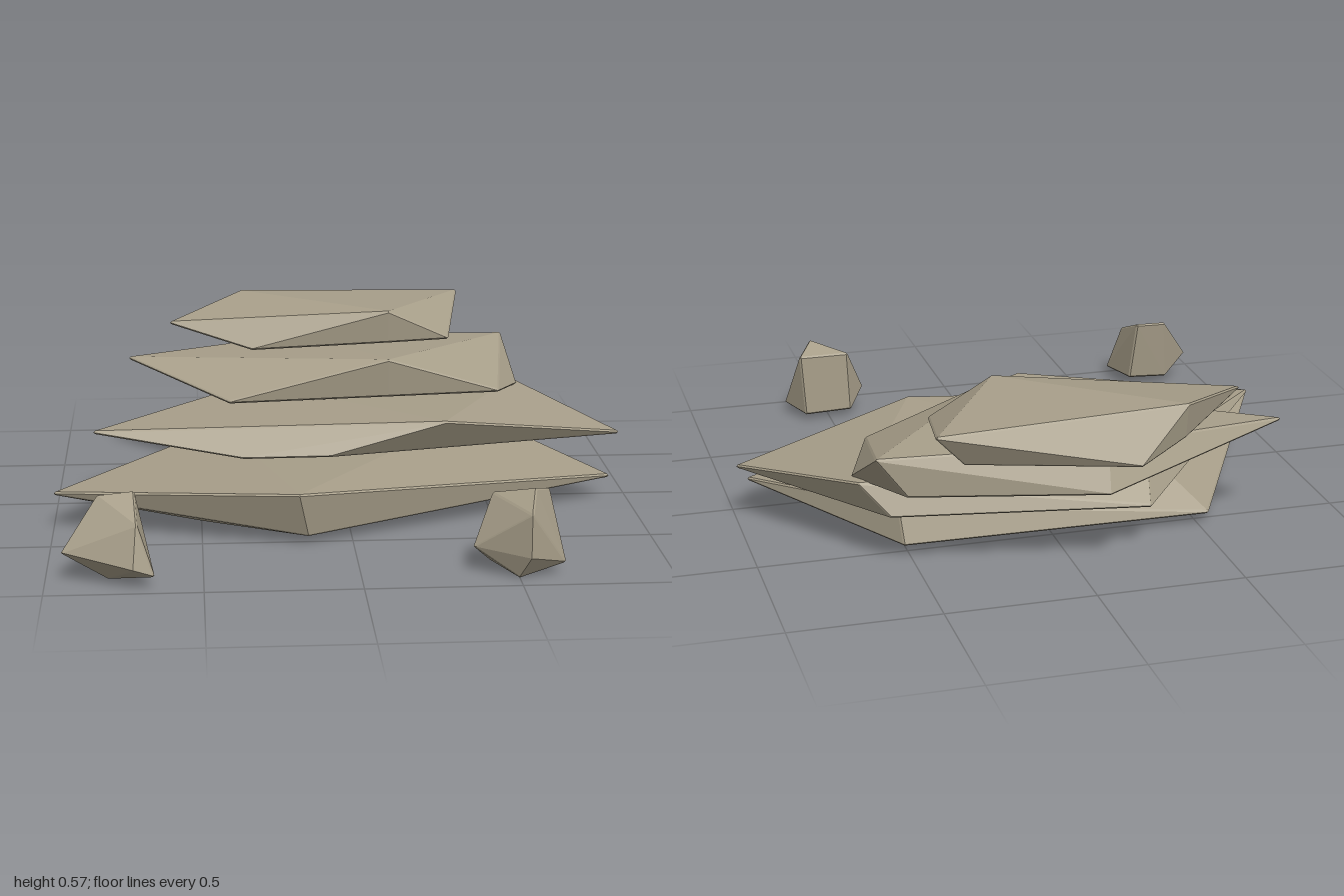
import * as THREE from 'three';
import { ConvexGeometry } from 'three/addons/geometries/ConvexGeometry.js';

const stone = new THREE.MeshStandardMaterial({ color: 0xa89f8a });
stone.name = 'stone';

const BEVEL = 0.006;

// Faceted rock: the hull of its corners, each blunted by a tiny octahedron for a chipped edge
function rock(name, corners) {
  const points = [];
  for (const [x, y, z] of corners) {
    for (const s of [-BEVEL, BEVEL]) {
      points.push(
        new THREE.Vector3(x + s, y, z),
        new THREE.Vector3(x, y + s, z),
        new THREE.Vector3(x, y, z + s)
      );
    }
  }
  const mesh = new THREE.Mesh(new ConvexGeometry(points), stone);
  mesh.name = name;
  return mesh;
}

export function createModel() {
  const group = new THREE.Group();
  group.name = 'steppedRocks';

  // Four flat slabs, stepping up and back; upper corners first, then lower ones
  group.add(rock('bottomSlab', [
    [-0.99, 0.13, 0.31], [-0.18, 0.182, 0.575], [0.93, 0.085, 0.06],
    [0.53, 0.165, -0.515], [-0.42, 0.155, -0.42],
    [-0.15, 0.037, 0.53], [-0.5, 0.027, 0.3], [0.68, 0.027, -0.2],
    [0.52, 0.05, -0.55], [-0.53, 0.045, -0.55], [-0.05, 0.025, -0.15]
  ]));
  group.add(rock('secondSlab', [
    [-0.865, 0.255, -0.01], [0.35, 0.302, 0.12], [0.99, 0.2, -0.1],
    [0.67, 0.285, -0.57], [-0.3, 0.28, -0.58],
    [-0.05, 0.2, 0.145], [-0.35, 0.19, 0.115], [0.6, 0.18, -0.15],
    [0.58, 0.185, -0.62], [-0.27, 0.165, -0.715]
  ]));
  group.add(rock('thirdSlab', [
    [-0.75, 0.38, -0.61], [0.18, 0.445, -0.22], [0.645, 0.425, -0.73],
    [-0.1, 0.42, -0.78],
    [-0.39, 0.295, -0.255], [0.18, 0.315, -0.24], [0.58, 0.32, -0.265],
    [0.675, 0.29, -0.5], [0.55, 0.3, -0.74], [-0.09, 0.28, -0.845]
  ]));
  group.add(rock('topSlab', [
    [-0.595, 0.51, -0.62], [-0.33, 0.57, -0.885], [0.2, 0.57, -0.465],
    [0.495, 0.555, -0.92],
    [-0.3, 0.435, -0.5], [0.2, 0.46, -0.48], [0.42, 0.465, -0.505],
    [0.4, 0.45, -0.88], [-0.15, 0.42, -0.975], [-0.33, 0.46, -0.865]
  ]));

  // Two small boulders standing in front
  group.add(rock('rightBoulder', [
    [-0.94, 0.1, 0.87], [-0.83, 0.255, 0.79], [-0.72, 0.262, 0.775],
    [-0.71, 0.2, 0.93], [-0.72, 0.07, 0.97], [-0.66, 0.045, 0.95],
    [-0.8, 0.02, 0.88], [-0.85, 0.035, 0.82], [-0.7, 0.05, 0.8]
  ]));
  group.add(rock('leftBoulder', [
    [0.365, 0.09, 0.86], [0.43, 0.245, 0.8], [0.55, 0.278, 0.88],
    [0.605, 0.25, 0.785], [0.53, 0.22, 0.965], [0.53, 0.08, 0.965],
    [0.645, 0.045, 0.89], [0.5, 0.008, 0.92], [0.42, 0.03, 0.8],
    [0.59, 0.03, 0.785]
  ]));

  return group;
}
